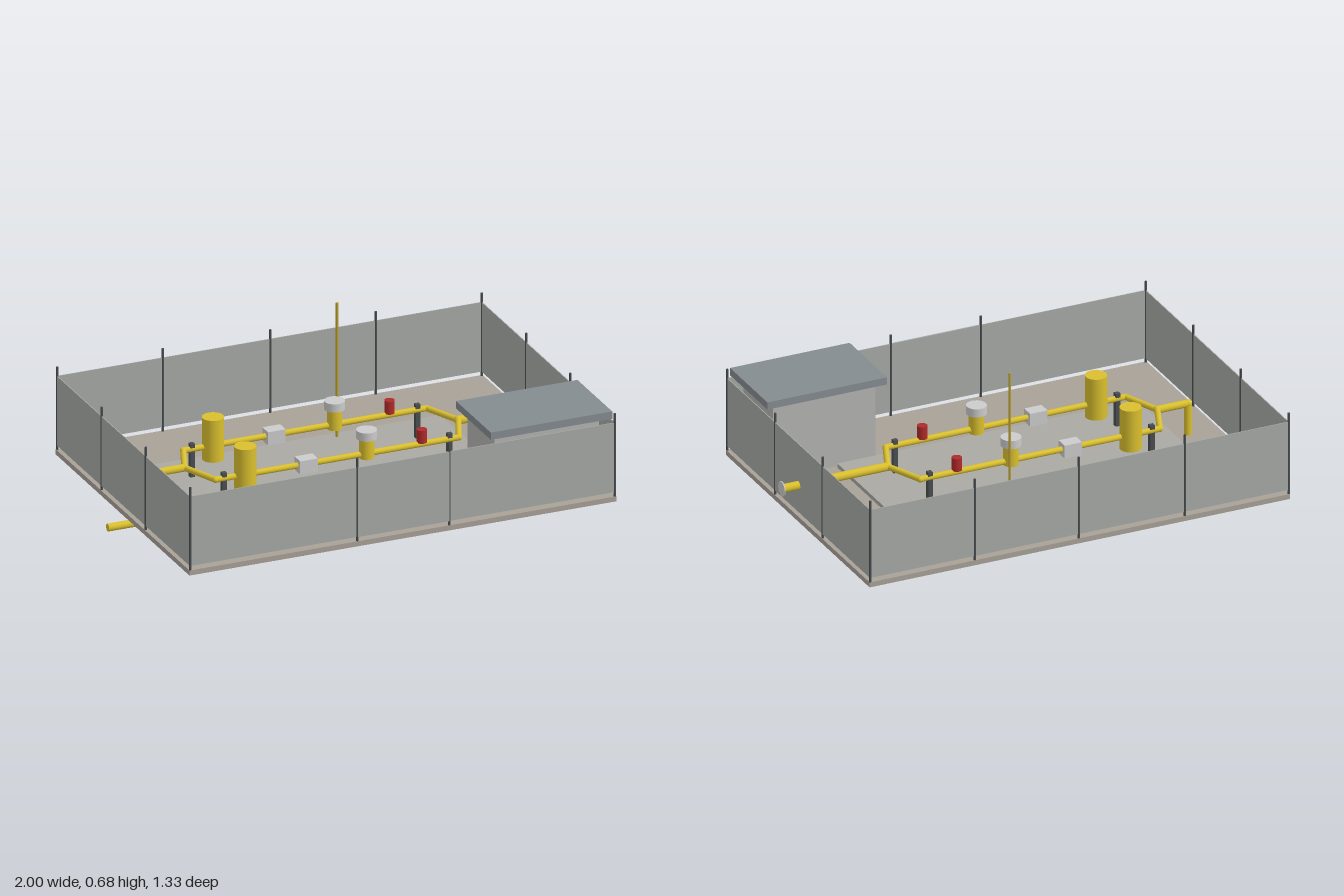
import * as THREE from 'three';

const mat = (color) => new THREE.MeshStandardMaterial({ color });

export function createModel() {
  const root = new THREE.Group();
  const yellow = mat(0xd9bf2e), steel = mat(0xc4c8c8), dark = mat(0x4a4e50);
  const fence = mat(0xa6aaa6), red = mat(0xb02a2a);

  const add = (name, geometry, material, parent = root) => {
    const mesh = new THREE.Mesh(geometry, material);
    mesh.name = name;
    parent.add(mesh);
    return mesh;
  };
  // Box given by its ranges along x, y and z
  const box = (name, [x0, x1], [y0, y1], [z0, z1], material, parent) => {
    const m = add(name, new THREE.BoxGeometry(x1 - x0, y1 - y0, z1 - z0), material, parent);
    m.position.set((x0 + x1) / 2, (y0 + y1) / 2, (z0 + z1) / 2);
    return m;
  };
  // Upright cylinder from y0 to y1
  const drum = (name, x, z, r, y0, y1, material, parent) => {
    const m = add(name, new THREE.CylinderGeometry(r, r, y1 - y0, 24), material, parent);
    m.position.set(x, (y0 + y1) / 2, z);
    return m;
  };
  // Straight pipe runs joined by ball elbows
  const pipe = (name, points, r, parent = root) => {
    const group = new THREE.Group();
    group.name = name;
    const p = points.map((c) => new THREE.Vector3(...c));
    for (let i = 1; i < p.length; i++) {
      const dir = p[i].clone().sub(p[i - 1]);
      const run = add('pipeRun', new THREE.CylinderGeometry(r, r, dir.length(), 20), yellow, group);
      run.position.copy(p[i]).add(p[i - 1]).multiplyScalar(0.5);
      run.quaternion.setFromUnitVectors(new THREE.Vector3(0, 1, 0), dir.normalize());
      if (i < p.length - 1) {
        add('elbow', new THREE.SphereGeometry(r * 1.06, 20, 12), yellow, group).position.copy(p[i]);
      }
    }
    parent.add(group);
  };

  // Ground slab and equipment pad
  const L = -0.93, R = 0.923, D = 0.662;
  box('groundSlab', [-0.935, 0.928], [0.063, 0.085], [-0.667, 0.667], mat(0xa8a198));
  box('equipmentPad', [-0.735, 0.595], [0.085, 0.103], [-0.33, 0.33], mat(0xaaa9a3));

  // Perimeter fence with a gate in the front
  const fenceGroup = new THREE.Group();
  fenceGroup.name = 'fence';
  root.add(fenceGroup);
  const t = 0.002, h = [0.103, 0.405];
  box('backPanel', [L, R], h, [-D - t, -D + t], fence, fenceGroup);
  box('frontPanelRight', [L, -0.2], h, [D - t, D + t], fence, fenceGroup);
  box('frontPanelLeft', [0.2, R], h, [D - t, D + t], fence, fenceGroup);
  box('gate', [-0.2, 0.2], h, [D - t, D + 0.005], fence, fenceGroup);
  for (const x of [L, R]) box('sidePanel', [x - t, x + t], h, [-D, D], fence, fenceGroup);
  const posts = [-0.47, 0, 0.46].map((x) => [x, -D]).concat([[-0.2, D], [0.2, D]]);
  for (const x of [L, R]) for (const z of [-D, -0.22, 0.22, D]) posts.push([x, z]);
  for (const [x, z] of posts) drum('fencePost', x, z, 0.005, 0.085, 0.445, dark, fenceGroup);

  // Control hut with overhanging roof
  box('hutBody', [0.42, 0.875], [0.085, 0.42], [0.342, 0.612], mat(0xb4b4b2));
  box('hutRoof', [0.385, 0.915], [0.42, 0.452], [0.308, 0.655], mat(0x858c90));

  // Supply pipe, riser and outlet with end flange
  const Y = 0.222;
  pipe('inletPipe', [[-1, 0.019, 0], [-0.8, 0.019, 0], [-0.8, Y, 0], [-0.665, Y, 0]], 0.016);
  pipe('outletPipe', [[0.53, Y, 0], [0.997, Y, 0]], 0.018);
  const flange = drum('outletFlange', 0, 0, 0.031, -0.002, 0.002, steel);
  flange.rotation.z = Math.PI / 2;
  flange.position.set(0.998, Y, 0);

  // Two mirrored metering lines
  for (const s of [-1, 1]) {
    const z = 0.16 * s;
    const line = new THREE.Group();
    line.name = s > 0 ? 'frontLine' : 'backLine';
    root.add(line);
    pipe('branchPipe', [[-0.665, Y, 0], [-0.6, Y, z], [0.462, Y, z], [0.53, Y, 0]], 0.0125, line);
    drum('filter', -0.47, z, 0.045, 0.165, 0.347, yellow, line);
    box('meter', [-0.242, -0.165], [0.193, 0.25], [z - 0.028, z + 0.028], steel, line);
    drum('regulatorBody', 0.06, z, 0.031, 0.205, 0.29, yellow, line);
    drum('regulatorCap', 0.06, z, 0.042, 0.29, 0.326, steel, line);
    drum('shutOffValve', 0.3, z, 0.021, 0.23, 0.286, red, line);
    for (const x of [-0.563, 0.421]) {
      box('pipeSupport', [x - 0.01, x + 0.01], [0.103, 0.248], [z - 0.01, z + 0.01], dark, line);
    }
  }

  // Ball joints where the branches meet the main pipes
  for (const [x, r] of [[-0.665, 0.0165], [0.53, 0.0185]]) {
    add('junction', new THREE.SphereGeometry(r, 20, 12), yellow).position.set(x, Y, 0);
  }

  // Tall vent mast
  drum('ventMast', 0.13, -0.295, 0.0055, 0.103, 0.685, mat(0xb8a030));

  return root;
}
